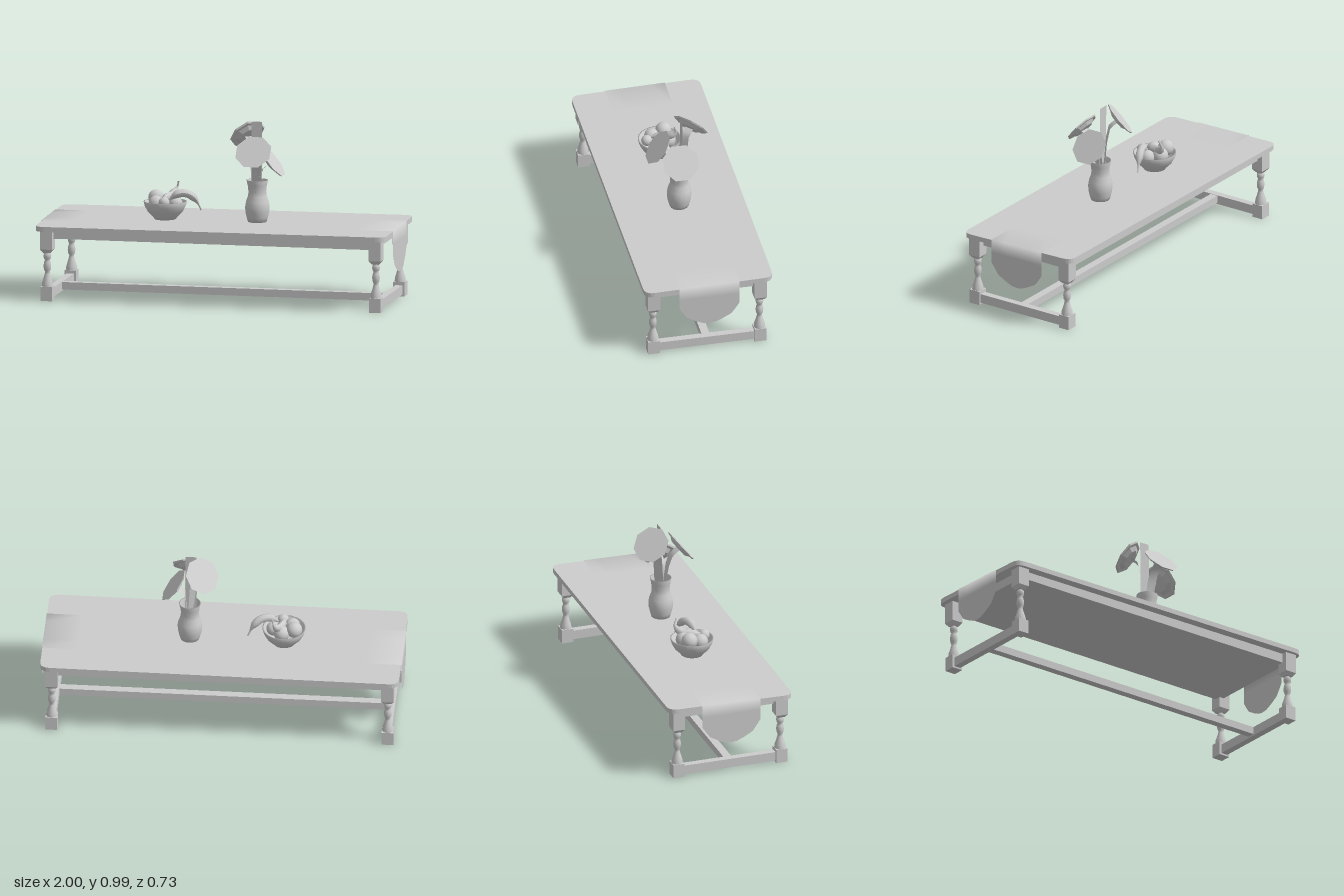
import * as THREE from 'three';

const V = (x, y, z) => new THREE.Vector3(x, y, z);

export function createModel() {
  const root = new THREE.Group();
  const clay = new THREE.MeshStandardMaterial({ color: 0xcccccc, side: THREE.DoubleSide });
  clay.name = 'pale grey';

  const add = (name, geo, x = 0, y = 0, z = 0, parent = root) => {
    const mesh = new THREE.Mesh(geo, clay);
    mesh.name = name;
    mesh.position.set(x, y, z);
    parent.add(mesh);
    return mesh;
  };
  const box = (name, w, h, d, x, y, z, parent) =>
    add(name, new THREE.BoxGeometry(w, h, d), x, y, z, parent);
  const lathe = (pts, seg) =>
    new THREE.LatheGeometry(pts.map(([r, y]) => new THREE.Vector2(r, y)), seg);
  const flat = (geo) => {
    const g = geo.toNonIndexed();
    g.computeVertexNormals();
    return g;
  };

  // The old table top leans slightly up towards the back left
  const topY = (x, z) => 0.432 - 0.02 * z + 0.004 * x;

  // Table top with rounded corners
  const x1 = 1, z0 = -0.36, z1 = 0.37, r = 0.055;
  const outline = new THREE.Shape();
  outline.moveTo(-x1 + r, z0);
  outline.lineTo(x1 - r, z0);
  outline.quadraticCurveTo(x1, z0, x1, z0 + r);
  outline.lineTo(x1, z1 - r);
  outline.quadraticCurveTo(x1, z1, x1 - r, z1);
  outline.lineTo(-x1 + r, z1);
  outline.quadraticCurveTo(-x1, z1, -x1, z1 - r);
  outline.lineTo(-x1, z0 + r);
  outline.quadraticCurveTo(-x1, z0, -x1 + r, z0);
  const slab = new THREE.ExtrudeGeometry(outline, { depth: 0.028, bevelEnabled: false, curveSegments: 5 });
  slab.rotateX(-Math.PI / 2);
  const sp = slab.attributes.position;
  for (let i = 0; i < sp.count; i++) {
    sp.setY(i, sp.getY(i) - 0.028 + topY(sp.getX(i), sp.getZ(i)));
  }
  slab.computeVertexNormals();
  add('tableTop', slab);
  box('apron', 1.86, 0.06, 0.61, 0, 0.378, 0);

  // Turned legs with square blocks at head and foot
  const turned = lathe([
    [0.02, 0.275], [0.013, 0.271], [0.02, 0.262], [0.022, 0.25], [0.019, 0.236], [0.013, 0.226],
    [0.018, 0.217], [0.022, 0.195], [0.019, 0.173], [0.013, 0.16], [0.015, 0.15], [0.022, 0.125],
    [0.03, 0.1], [0.032, 0.08],
  ], 16);
  const k = Math.SQRT2;
  const taper = flat(new THREE.CylinderGeometry(0.035 * k, 0.02 * k, 0.02, 4).rotateY(Math.PI / 4));
  for (const sx of [-1, 1]) {
    for (const sz of [-1, 1]) {
      const leg = new THREE.Group();
      leg.name = 'leg';
      leg.position.set(sx * 0.937, 0, sz * 0.303);
      root.add(leg);
      box('legHead', 0.07, 0.12, 0.07, 0, 0.35, 0, leg);
      add('legTaper', taper, 0, 0.28, 0, leg);
      add('legTurning', turned, 0, 0, 0, leg);
      box('legFoot', 0.066, 0.08, 0.066, 0, 0.04, 0, leg);
    }
    box('sideStretcher', 0.04, 0.052, 0.55, sx * 0.937, 0.036, 0);
  }
  box('longStretcher', 1.84, 0.042, 0.045, 0, 0.039, 0);

  // Cloth runner: rows of points across, hanging in a rounded tongue at both ends
  const rows = [];
  const drop = [[0.19, 0.035], [0.205, 0.07], [0.235, 0.125], [0.262, 0.145], [0.3, 0.17], [0.36, 0.17]];
  for (const [y, w] of [[0.185, 0.004], ...drop]) rows.push([-1.002, y, w]);
  for (const x of [-1.002, -0.8, -0.4, 0, 0.4, 0.8, 1.002]) rows.push([x, null, 0.17]);
  for (const [y, w] of [...drop.slice().reverse(), [0.185, 0.004]]) rows.push([1.002, y, w]);
  const pos = [], idx = [], n = 4;
  rows.forEach(([x, y, w], i) => {
    for (let j = 0; j <= n; j++) {
      const z = -0.006 + w * (1 - (2 * j) / n);
      pos.push(x, y ?? topY(x, z) + 0.003, z);
      if (i && j) {
        const a = (i - 1) * (n + 1) + j - 1, b = a + n + 1;
        idx.push(a, b + 1, b, a, a + 1, b + 1);
      }
    }
  });
  const cloth = new THREE.BufferGeometry();
  cloth.setAttribute('position', new THREE.Float32BufferAttribute(pos, 3));
  // Winding runs front to back, so reverse it to face outwards
  for (let i = 0; i < idx.length; i += 3) [idx[i + 1], idx[i + 2]] = [idx[i + 2], idx[i + 1]];
  cloth.setIndex(idx);
  cloth.computeVertexNormals();
  if (cloth.attributes.normal.getY((7 + 3) * (n + 1) + 2) < 0) {
    cloth.setIndex(idx.reverse());
    cloth.computeVertexNormals();
  }
  add('runner', cloth);

  // Fruit bowl
  add('bowl', lathe([
    [0, 0.432], [0.06, 0.432], [0.068, 0.445], [0.098, 0.475], [0.114, 0.505], [0.121, 0.532],
    [0.113, 0.532], [0.104, 0.505], [0.085, 0.477], [0.05, 0.455], [0, 0.45],
  ], 24), -0.335, 0, -0.005);
  for (const [x, y, z, s] of [
    [-0.395, 0.545, -0.04, 0.045], [-0.38, 0.525, 0.03, 0.042], [-0.325, 0.535, 0.07, 0.031],
    [-0.325, 0.525, -0.05, 0.045], [-0.275, 0.52, 0.0, 0.04],
  ]) add('roundFruit', new THREE.SphereGeometry(s, 14, 10), x, y, z);

  // Bananas: tubes thinned to a stalk at the end
  const banana = (pts) => {
    const curve = new THREE.CatmullRomCurve3(pts);
    const seg = 16, sides = 8;
    const geo = new THREE.TubeGeometry(curve, seg, 0.022, sides);
    const p = geo.attributes.position;
    for (let i = 0; i <= seg; i++) {
      const t = i / seg, c = curve.getPointAt(t);
      const s = t > 0.82 ? 0.22 : Math.min(1, 0.25 + 4 * t, 0.3 + 4 * (0.82 - t));
      for (let j = 0; j <= sides; j++) {
        const q = i * (sides + 1) + j;
        const v = V(0, 0, 0).fromBufferAttribute(p, q).sub(c).multiplyScalar(s).add(c);
        p.setXYZ(q, v.x, v.y, v.z);
      }
    }
    geo.computeVertexNormals();
    add('banana', geo);
  };
  banana([V(-0.335, 0.55, 0.045), V(-0.325, 0.555, -0.01), V(-0.305, 0.565, -0.06), V(-0.285, 0.6, -0.088), V(-0.275, 0.635, -0.075)]);
  banana([V(-0.3, 0.55, 0.03), V(-0.255, 0.58, 0.018), V(-0.205, 0.578, 0), V(-0.165, 0.545, -0.018), V(-0.135, 0.485, -0.033)]);

  // Vase
  const vx = 0.19, vz = -0.005;
  add('vase', lathe([
    [0, 0.434], [0.052, 0.434], [0.06, 0.46], [0.067, 0.49], [0.069, 0.52], [0.064, 0.55], [0.053, 0.58],
    [0.05, 0.605], [0.054, 0.64], [0.061, 0.67], [0.056, 0.67], [0.046, 0.605], [0.045, 0.56], [0, 0.5],
  ], 16), vx, 0, vz);

  // Flat ribbon along a path, widened along one direction
  const ribbon = (name, pts, side, width) => {
    const curve = new THREE.CatmullRomCurve3(pts);
    const geo = new THREE.PlaneGeometry(1, 1, 1, 6);
    const p = geo.attributes.position;
    for (let i = 0; i < p.count; i++) {
      const v = curve.getPoint(p.getY(i) + 0.5).addScaledVector(side, p.getX(i) * width);
      p.setXYZ(i, v.x, v.y, v.z);
    }
    geo.computeVertexNormals();
    add(name, geo);
  };

  // Eight-sided blooms on bent stems
  const disc = flat(new THREE.CylinderGeometry(0.105, 0.098, 0.008, 8).rotateY(Math.PI / 8));
  const cup = flat(new THREE.CylinderGeometry(0.08, 0.055, 0.016, 8).rotateY(Math.PI / 8));
  for (const [c, dir, side] of [
    [V(0.283, 0.78, 0.005), V(0.79, 0.61, 0), V(0, 0, 1)],
    [V(0.195, 0.845, 0.118), V(0, 0.63, 0.78), V(1, 0, 0)],
    [V(0.115, 0.917, -0.088), V(-0.53, 0.62, -0.56), V(0.72, 0, -0.69)],
  ]) {
    const bloom = new THREE.Group();
    bloom.name = 'flower';
    bloom.position.copy(c);
    bloom.quaternion.setFromUnitVectors(V(0, 1, 0), dir.clone().normalize());
    root.add(bloom);
    add('petals', disc, 0, -0.004, 0, bloom);
    add('flowerCup', cup, 0, -0.016, 0, bloom);
    const end = c.clone().addScaledVector(dir, -0.02);
    const mid = V(vx, 0.68, vz).lerp(V(end.x, 0.68, end.z), 0.25);
    ribbon('stem', [V(vx, 0.51, vz), mid, end.clone().addScaledVector(dir, -0.06), end], side, 0.055);
  }
  ribbon('tallLeaf', [V(0.183, 0.51, -0.012), V(0.183, 0.75, -0.016), V(0.183, 0.993, -0.02)], V(1, 0, 0), 0.06);

  return root;
}
